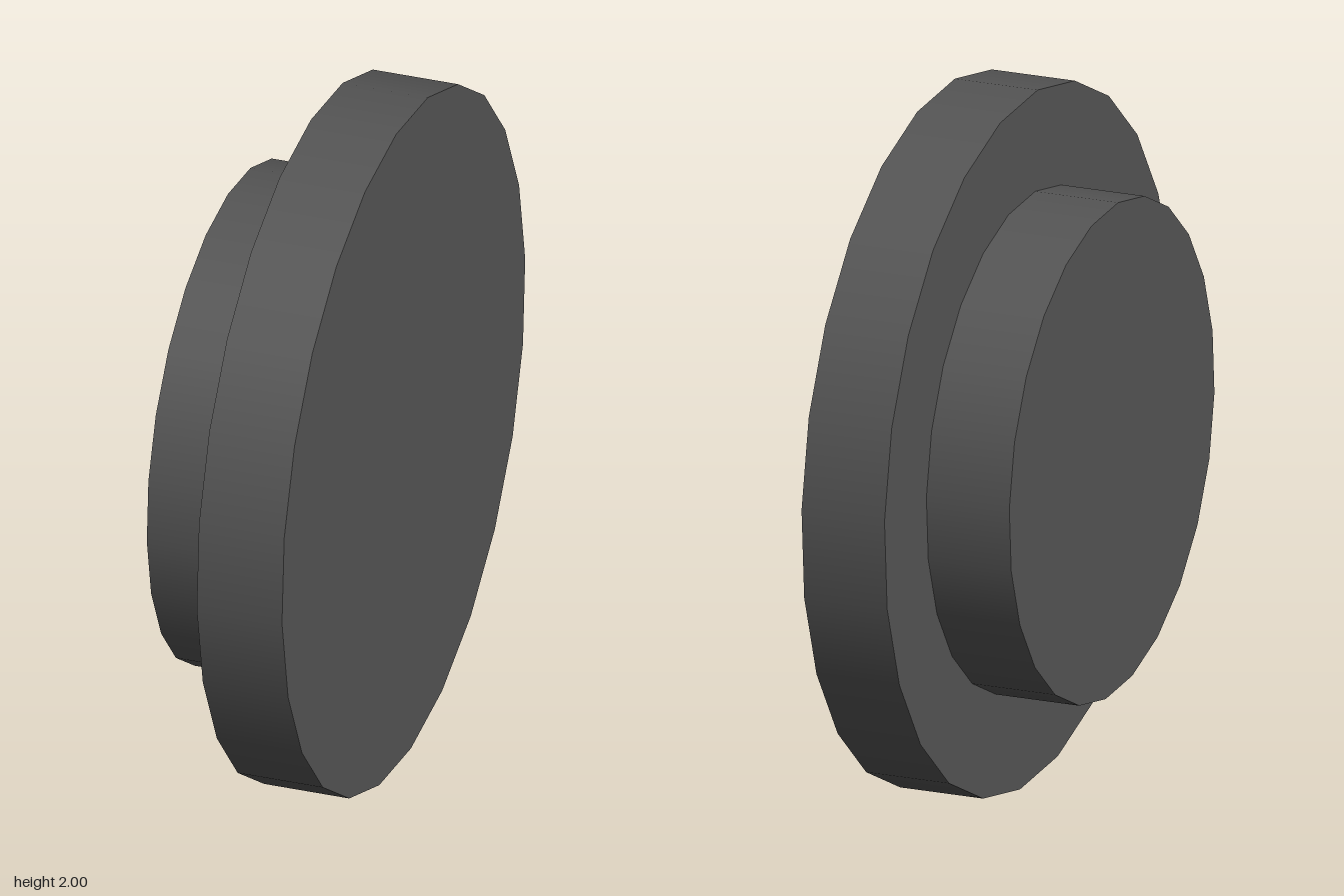
import * as THREE from 'three';

const SIDES = 24;
const TWIST = THREE.MathUtils.degToRad(3.5);

export function createModel() {
  const group = new THREE.Group();
  group.name = 'steppedDisc';
  const material = new THREE.MeshStandardMaterial({ color: 0x555555 });

  // A disc lying along the x axis between x0 and x1, centred at y = 1
  function addDisc(name, radius, x0, x1) {
    const geometry = new THREE.CylinderGeometry(
      radius, radius, x1 - x0, SIDES, 1, false, TWIST - Math.PI / 2, Math.PI * 2
    );
    geometry.rotateZ(-Math.PI / 2);
    const mesh = new THREE.Mesh(geometry, material);
    mesh.name = name;
    mesh.position.set((x0 + x1) / 2, 1, 0);
    group.add(mesh);
  }

  addDisc('wideDisc', 1, 0, 0.25);
  addDisc('hub', 0.71, -0.25, 0);

  return group;
}
